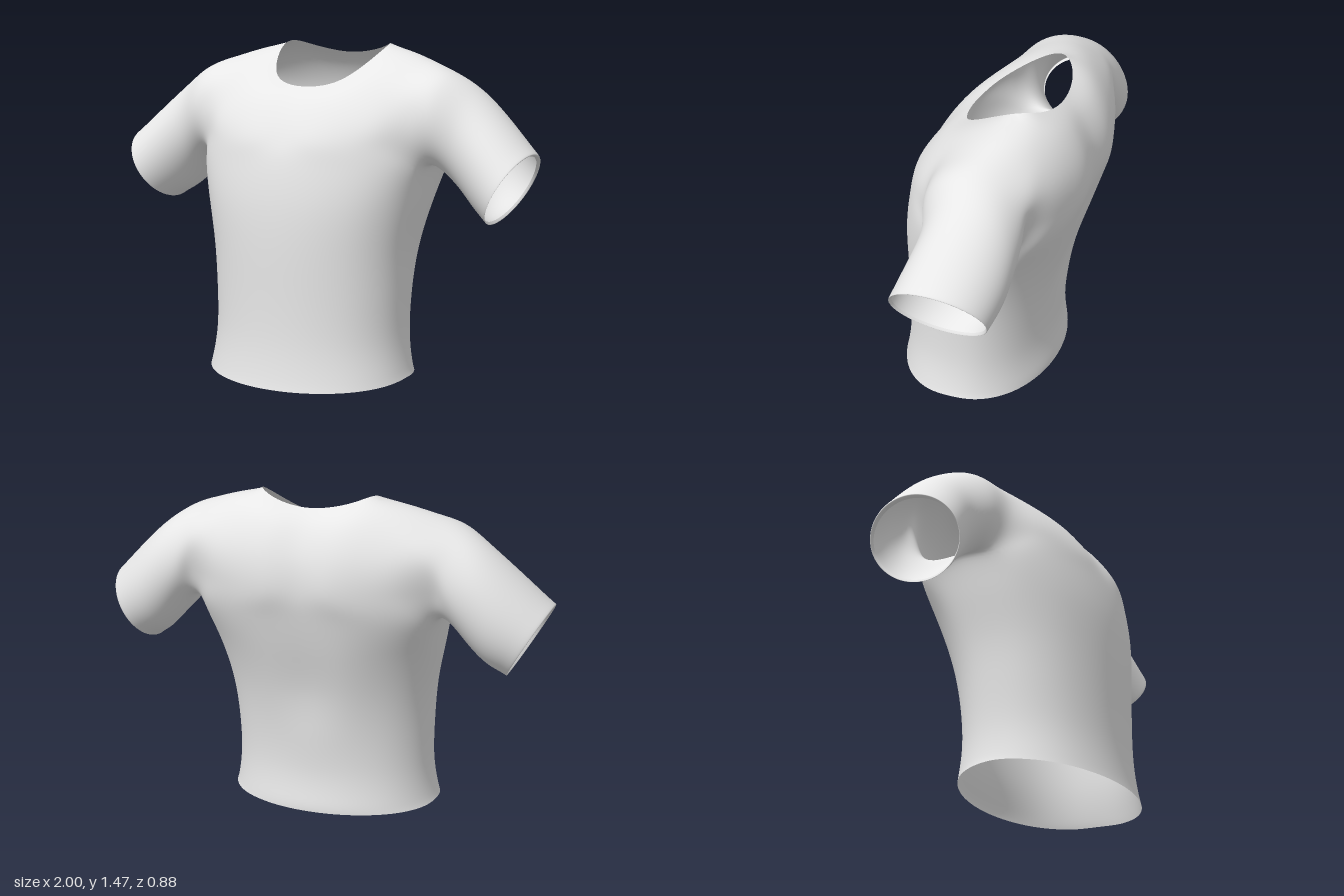
import * as THREE from 'three';

// Torso rings: y, half width, front z, back z, side seam z, front and back roundness
const TORSO = [
  [0.00, 0.480, 0.438, -0.285, 0.07, 0.92, 0.92],
  [0.06, 0.468, 0.426, -0.282, 0.07, 0.92, 0.92],
  [0.20, 0.452, 0.410, -0.269, 0.06, 0.92, 0.90],
  [0.40, 0.455, 0.405, -0.281, 0.05, 0.90, 0.88],
  [0.60, 0.472, 0.405, -0.315, 0.03, 0.85, 0.80],
  [0.80, 0.512, 0.395, -0.372, 0.00, 0.80, 0.68],
  [0.965, 0.552, 0.367, -0.418, -0.06, 0.75, 0.56],
];
// Column angles from front centre, round the side, to back centre
const ANGLES = [0, 20, 40, 58, 75, 90, 105, 122, 140, 160, 180];

const NECK = [0.262, 1.462, -0.14];
const SHOULDER = [0.48, 1.405, -0.12];

// Chest rows from centre to armhole; the last is neckline and shoulder seam
const CHEST = [
  [[0, 1.06, 0.333], [0.15, 1.06, 0.333], [0.305, 1.065, 0.292], [0.42, 1.07, 0.228], [0.515, 1.08, 0.145]],
  [[0, 1.15, 0.283], [0.14, 1.155, 0.283], [0.28, 1.17, 0.25], [0.40, 1.185, 0.195], [0.50, 1.20, 0.135]],
  [[0, 1.235, 0.212], [0.125, 1.25, 0.205], [0.245, 1.282, 0.16], [0.35, 1.335, 0.075], [0.48, 1.32, 0.06]],
  [[0, 1.29, 0.14], [0.11, 1.303, 0.12], [0.205, 1.36, 0.04], NECK, SHOULDER],
];
// Back rows from armhole to centre
const BACK = [
  [[0.54, 1.09, -0.295], [0.43, 1.09, -0.36], [0.295, 1.09, -0.41], [0.14, 1.08, -0.437], [0, 1.08, -0.425]],
  [[0.52, 1.23, -0.328], [0.41, 1.24, -0.366], [0.28, 1.24, -0.40], [0.14, 1.23, -0.422], [0, 1.22, -0.412]],
  [[0.49, 1.34, -0.27], [0.365, 1.385, -0.285], [0.24, 1.385, -0.33], [0.12, 1.36, -0.357], [0, 1.35, -0.35]],
  [SHOULDER, NECK, [0.20, 1.455, -0.237], [0.10, 1.43, -0.272], [0, 1.42, -0.28]],
];
// Sleeve rings: top x, top y, bottom x, bottom y, front z, back z
const SLEEVE = [
  [0.600, 1.360, 0.605, 0.925, 0.118, -0.320],
  [0.720, 1.288, 0.680, 0.845, 0.086, -0.323],
  [0.850, 1.175, 0.750, 0.775, 0.105, -0.315],
  [0.965, 1.065, 0.803, 0.738, 0.132, -0.292],
  [1.000, 1.030, 0.825, 0.722, 0.140, -0.280],
  [0.982, 1.022, 0.820, 0.735, 0.131, -0.271], // cuff turned inwards
];

function torsoRing([y, w, zf, zb, zs, roundF, roundB], row) {
  return ANGLES.map((deg, i) => {
    const a = deg * Math.PI / 180;
    const c = i === 5 ? 0 : Math.cos(a);
    const s = i === 0 || i === 10 ? 0 : Math.sin(a);
    const reach = c > 0 ? (zf - zs) * c ** roundF : (zb - zs) * (-c) ** roundB;
    const groove = i === 10 && row > 3 ? 0.013 : 0; // spine
    const lift = Math.max(0, 1 - row / 3) * 0.035 * (1 - Math.max(0, c)); // hem dips in front
    return [w * s, y + lift, zs + reach + groove];
  });
}

function sleeveRing([tx, ty, bx, by, zf, zb]) {
  return Array.from({ length: 10 }, (_, j) => {
    const a = j * Math.PI / 5, k = (1 - Math.cos(a)) / 2;
    return [tx + (bx - tx) * k, ty + (by - ty) * k, (zf + zb) / 2 + (zf - zb) / 2 * Math.sin(a)];
  });
}

// Coarse quad cage of the whole shirt, both halves
function buildCage() {
  const verts = [], quads = [], ids = new Map();
  const id = (p, side) => {
    const q = [p[0] * side, p[1], p[2]];
    const key = q.map(n => Math.round(n * 1e4)).join();
    if (!ids.has(key)) ids.set(key, verts.push(q) - 1);
    return ids.get(key);
  };
  const quad = (...p) => {
    quads.push(p.map(v => id(v, 1)));
    quads.push(p.map(v => id(v, -1)).reverse());
  };
  const skin = (rows, closed) => {
    for (let r = 0; r + 1 < rows.length; r++) {
      const a = rows[r], b = rows[r + 1], n = a.length;
      for (let i = 0; i < (closed ? n : n - 1); i++) {
        const k = (i + 1) % n;
        quad(a[i], a[k], b[k], b[i]);
      }
    }
  };
  const torso = TORSO.map(torsoRing);
  const top = torso[torso.length - 1];
  skin(torso);
  skin([top.slice(0, 5), ...CHEST]);
  skin([top.slice(6), ...BACK]);
  const armhole = [SHOULDER, CHEST[2][4], CHEST[1][4], CHEST[0][4], top[4], top[5],
    top[6], BACK[0][0], BACK[1][0], BACK[2][0]];
  skin([armhole, ...SLEEVE.map(sleeveRing)], true);
  return { verts, quads };
}

const sum = list => list.reduce((s, p) => [s[0] + p[0], s[1] + p[1], s[2] + p[2]], [0, 0, 0]);
const mean = list => sum(list).map(n => n / list.length);

// One step of smooth quad subdivision; old vertices keep their index
function subdivide({ verts, quads }) {
  const edges = new Map(), n = verts.length;
  const around = verts.map(() => ({ faces: [], mids: [], rim: [] }));
  const edgeOf = (a, b) => {
    const key = a < b ? a * n + b : b * n + a;
    if (!edges.has(key)) edges.set(key, { a, b, faces: [] });
    return edges.get(key);
  };
  const centres = quads.map(q => mean(q.map(i => verts[i])));
  quads.forEach((q, f) => q.forEach((v, i) => {
    around[v].faces.push(centres[f]);
    edgeOf(v, q[(i + 1) % 4]).faces.push(centres[f]);
  }));
  const out = new Array(n);
  for (const e of edges.values()) {
    const mid = mean([verts[e.a], verts[e.b]]);
    const rim = e.faces.length === 1;
    for (const v of [e.a, e.b]) {
      around[v].mids.push(mid);
      if (rim) around[v].rim.push(mid);
    }
    e.id = out.push(rim ? mid : mean([verts[e.a], verts[e.b], ...e.faces])) - 1;
  }
  verts.forEach((p, v) => {
    const { faces, mids, rim } = around[v], k = mids.length;
    if (rim.length) {
      const m = mean(rim);
      out[v] = p.map((x, i) => (x + m[i]) / 2);
    } else {
      const F = mean(faces), M = mean(mids);
      out[v] = p.map((x, i) => (F[i] + 2 * M[i] + (k - 3) * x) / k);
    }
  });
  const next = [];
  quads.forEach((q, f) => {
    const c = out.push(centres[f]) - 1;
    q.forEach((v, i) => next.push([v, edgeOf(v, q[(i + 1) % 4]).id, c, edgeOf(q[(i + 3) % 4], v).id]));
  });
  return { verts: out, quads: next };
}

const smooth = mesh => subdivide(subdivide(subdivide(mesh)));

export function createModel() {
  const cage = buildCage();
  const target = cage.verts.map(p => [...p]);
  // Push the cage out until the smooth surface passes through its points
  let fine = smooth(cage);
  for (let pass = 0; pass < 6; pass++) {
    cage.verts = cage.verts.map((p, v) => p.map((x, i) => x + target[v][i] - fine.verts[v][i]));
    fine = smooth(cage);
  }

  // Slight sideways drape of the body
  const positions = fine.verts.flatMap(([x, y, z]) => [x + 0.013 * (1 - x * x), y, z]);
  const index = fine.quads.flatMap(([a, b, c, d]) => [a, b, c, a, c, d]);
  const geometry = new THREE.BufferGeometry();
  geometry.setAttribute('position', new THREE.Float32BufferAttribute(positions, 3));
  geometry.setIndex(index);
  geometry.computeVertexNormals();

  const cloth = new THREE.MeshStandardMaterial({ color: 0xe7e7e7, side: THREE.DoubleSide });
  cloth.name = 'light grey cloth';
  const shirt = new THREE.Mesh(geometry, cloth);
  shirt.name = 'shirt';
  const group = new THREE.Group();
  group.name = 'shortSleevedShirt';
  group.add(shirt);
  return group;
}
